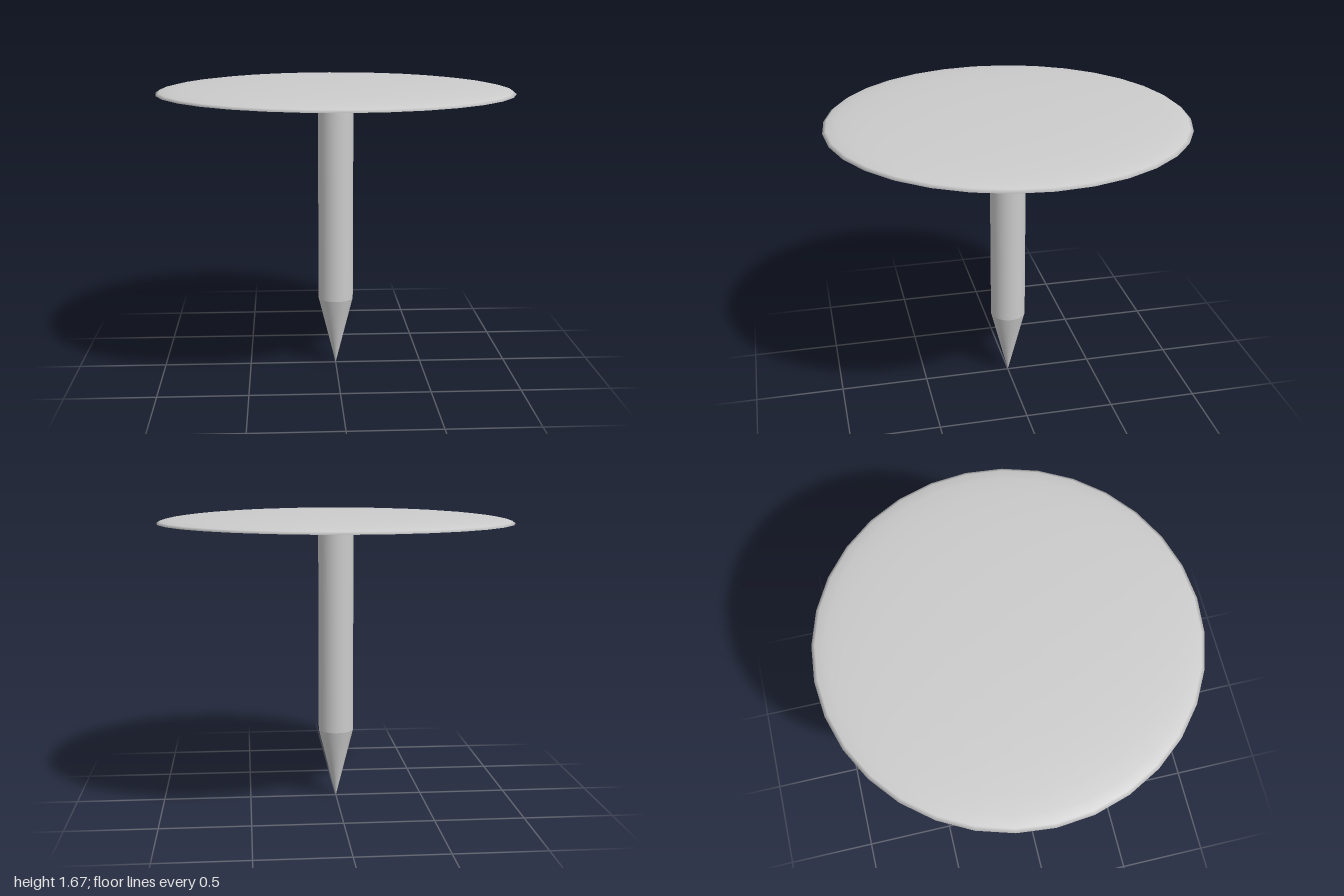
import * as THREE from 'three';

const SIDES = 32;
const HEAD_Y = 1.6, HEAD_R = 1, DOME_H = 0.067;
const PIN_R = 0.1, TIP_H = 0.4;

export function createModel() {
  const group = new THREE.Group();
  group.name = 'pushPin';
  const material = new THREE.MeshStandardMaterial({ color: 0xcccccc });

  const add = (name, geometry, y) => {
    const mesh = new THREE.Mesh(geometry, material);
    mesh.name = name;
    mesh.position.y = y;
    group.add(mesh);
  };

  // Shallow domed head: a flattened upper hemisphere
  const dome = new THREE.SphereGeometry(HEAD_R, SIDES, 8, 0, Math.PI * 2, 0, Math.PI / 2);
  dome.scale(1, DOME_H / HEAD_R, 1);
  add('headDome', dome, HEAD_Y);

  // Flat underside of the head
  add('headUnderside', new THREE.CircleGeometry(HEAD_R, SIDES).rotateX(Math.PI / 2), HEAD_Y);

  // Straight shaft
  const shaftH = HEAD_Y - TIP_H;
  add('shaft', new THREE.CylinderGeometry(PIN_R, PIN_R, shaftH, SIDES, 1, true), TIP_H + shaftH / 2);

  // Sharp point, facing down
  add('point', new THREE.CylinderGeometry(PIN_R, 0, TIP_H, SIDES, 1, true), TIP_H / 2);

  return group;
}
